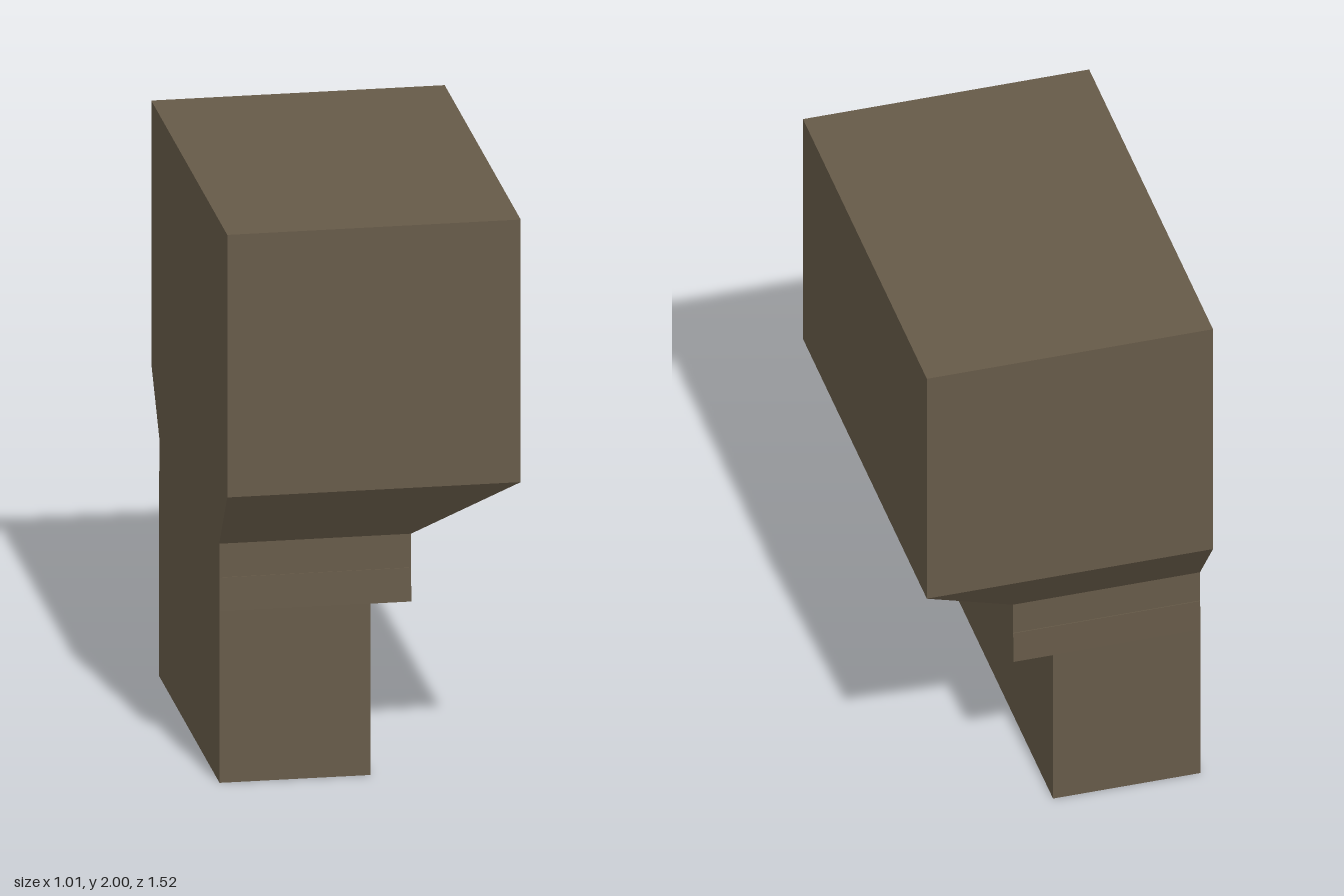
import * as THREE from 'three';

const WALL_X = -0.505; // flat back wall shared by every section

// Rectangular sections from bottom to top: [y, outer x, half depth]
const SECTIONS = {
  base: [[0, 0.015, 0.605], [0.61, 0.015, 0.605]],
  ledge: [[0.61, 0.015, 0.605], [0.61, 0.155, 0.605]],
  neck: [[0.61, 0.155, 0.605], [0.73, 0.155, 0.603], [0.73, 0.155, 0.6], [0.85, 0.155, 0.6]],
  flare: [[0.85, 0.155, 0.6], [1.065, 0.505, 0.76]],
  upperBlock: [[1.065, 0.505, 0.76], [2, 0.505, 0.76]],
};

// Corners of one section, counter-clockwise seen from above
const ring = ([y, x, z]) => [[WALL_X, y, z], [x, y, z], [x, y, -z], [WALL_X, y, -z]];

// Joins successive sections with flat quads, optionally closing the ends
function loft(sections, capBottom, capTop) {
  const points = [];
  const quad = (a, b, c, d) => points.push(...a, ...b, ...c, ...a, ...c, ...d);
  const rings = sections.map(ring);
  for (let i = 0; i < rings.length - 1; i++) {
    const low = rings[i], high = rings[i + 1];
    for (let j = 0; j < 4; j++) {
      const k = (j + 1) % 4;
      quad(low[j], low[k], high[k], high[j]);
    }
  }
  if (capBottom) quad(...[...rings[0]].reverse());
  if (capTop) quad(...rings[rings.length - 1]);
  const geometry = new THREE.BufferGeometry();
  geometry.setAttribute('position', new THREE.Float32BufferAttribute(points, 3));
  geometry.computeVertexNormals();
  return geometry;
}

export function createModel() {
  const group = new THREE.Group();
  group.name = 'steppedBlock';
  const brown = new THREE.MeshStandardMaterial({ color: 0x665a48 });
  brown.name = 'earthBrown';

  for (const [name, sections] of Object.entries(SECTIONS)) {
    const mesh = new THREE.Mesh(loft(sections, name === 'base', name === 'upperBlock'), brown);
    mesh.name = name;
    group.add(mesh);
  }
  return group;
}
